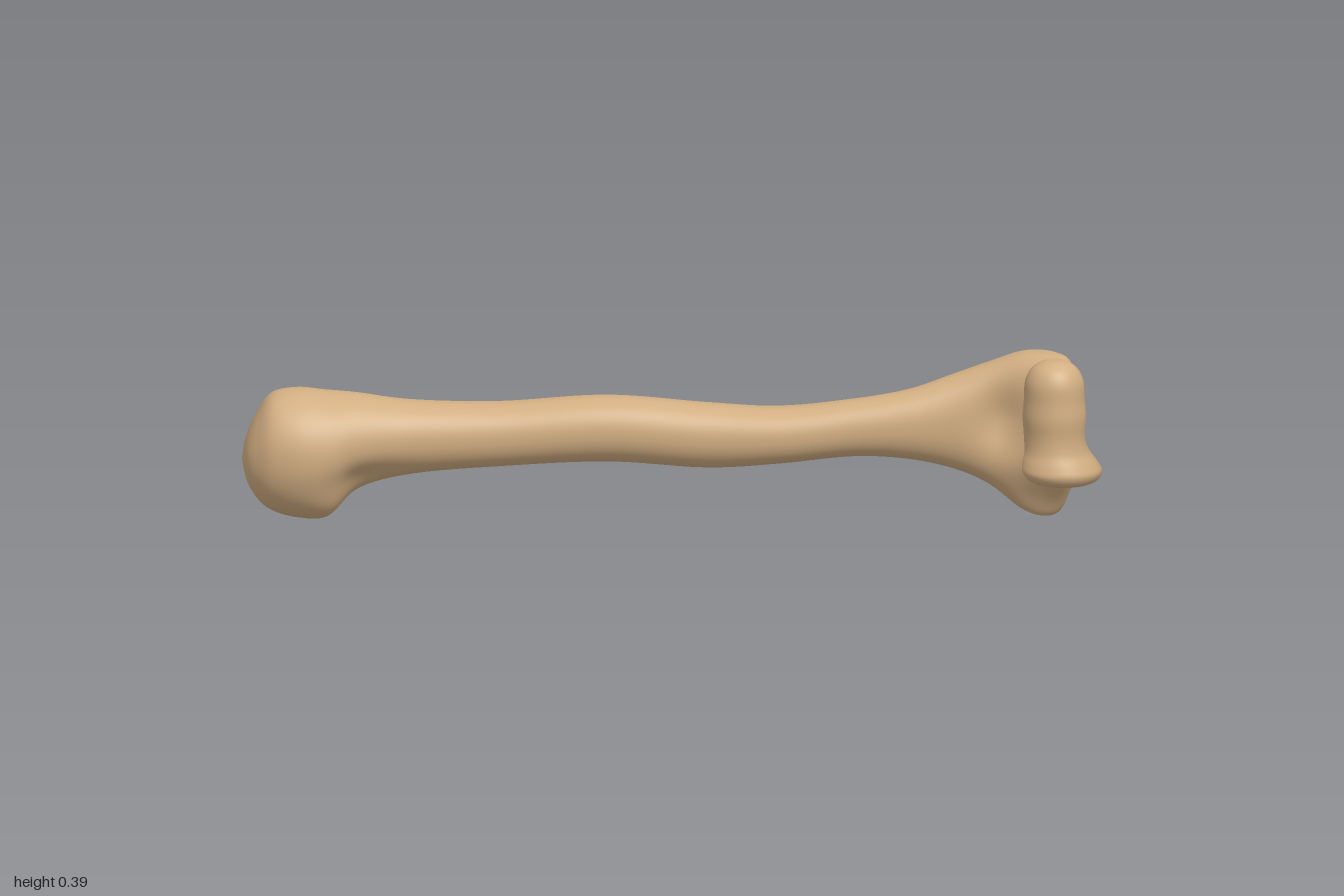
import * as THREE from 'three';

const bone = new THREE.MeshStandardMaterial({ color: 0xd2ae82 });
bone.name = 'bone tan';

// Stations along the bone: x, bottom, top, back, front
const STATIONS = [
  [-1.0, 0.15, 0.15, -0.02, -0.02],
  [-0.99, 0.1, 0.2, -0.075, 0.035],
  [-0.965, 0.055, 0.255, -0.12, 0.07],
  [-0.93, 0.025, 0.3, -0.16, 0.095],
  [-0.87, 0.007, 0.312, -0.187, 0.108],
  [-0.8, 0.01, 0.306, -0.177, 0.102],
  [-0.73, 0.075, 0.3, -0.148, 0.084],
  [-0.6, 0.11, 0.282, -0.118, 0.06],
  [-0.4, 0.126, 0.276, -0.105, 0.05],
  [-0.15, 0.136, 0.29, -0.103, 0.054],
  [0.08, 0.121, 0.272, -0.095, 0.058],
  [0.25, 0.132, 0.265, -0.076, 0.065],
  [0.42, 0.148, 0.281, -0.068, 0.061],
  [0.55, 0.14, 0.303, -0.07, 0.06],
  [0.66, 0.113, 0.338, -0.085, 0.056],
  [0.74, 0.077, 0.366, -0.086, 0.062],
  [0.81, 0.024, 0.391, -0.084, 0.08],
  [0.86, 0.006, 0.397, -0.076, 0.1],
  [0.9, 0.018, 0.393, -0.056, 0.12],
  [0.925, 0.07, 0.38, -0.03, 0.12],
  [0.938, 0.13, 0.34, 0.0, 0.1],
  [0.943, 0.24, 0.24, 0.05, 0.05],
];

// Soft hollows: centre, radii, push
const HOLLOWS = [
  { c: [0.87, 0.19, -0.08], r: [0.095, 0.062, 0.1], p: [0, 0, 0.11] },    // rear elbow hollow
  { c: [0.77, 0.24, 0.08], r: [0.06, 0.08, 0.05], p: [0, 0, -0.03] },     // front elbow hollow
  { c: [-0.74, 0.28, -0.1], r: [0.17, 0.07, 0.03], p: [0, -0.025, 0.01] }, // groove by the head
  { c: [-0.72, 0.1, 0.07], r: [0.12, 0.05, 0.05], p: [0, 0.01, -0.02] },  // neck under the head
];

function catmull(a, b, c, d, t) {
  return 0.5 * (2 * b + (c - a) * t + (2 * a - 5 * b + 4 * c - d) * t * t
    + (3 * b - a - 3 * c + d) * t * t * t);
}

function sectionAt(u) {
  const last = STATIONS.length - 1;
  const i = Math.min(Math.floor(u), last - 1);
  const at = (k) => STATIONS[THREE.MathUtils.clamp(k, 0, last)];
  return at(i).map((_, k) => catmull(at(i - 1)[k], at(i)[k], at(i + 1)[k], at(i + 2)[k], u - i));
}

function shape(p) {
  // Narrow the inner, lower knob at the elbow end
  const knob = THREE.MathUtils.smoothstep(p.x, 0.7, 0.84)
    * (1 - THREE.MathUtils.smoothstep(p.y, 0.02, 0.15));
  p.z = THREE.MathUtils.lerp(p.z, 0.02 + (p.z - 0.02) * 0.45, knob);
  const q = p.toArray();
  for (const { c, r, p: push } of HOLLOWS) {
    const d2 = c.reduce((s, v, k) => s + ((q[k] - v) / r[k]) ** 2, 0);
    p.addScaledVector(new THREE.Vector3(...push), Math.exp(-d2));
  }
  return p;
}

// Closed tube from rings ordered along +x, or by any matching ring function
function loft(rings, sides, point) {
  const pos = [], index = [];
  for (let i = 0; i <= rings; i++) {
    for (let j = 0; j < sides; j++) {
      pos.push(...point(i / rings, (j / sides) * Math.PI * 2).toArray());
      if (i === rings) continue;
      const k = (j + 1) % sides, a = i * sides;
      index.push(a + j, a + k, a + sides + j, a + k, a + sides + k, a + sides + j);
    }
  }
  const g = new THREE.BufferGeometry();
  g.setAttribute('position', new THREE.Float32BufferAttribute(pos, 3));
  g.setIndex(index);
  g.computeVertexNormals();
  return g;
}

export function createModel() {
  const group = new THREE.Group();
  group.name = 'armBone';
  const add = (name, geometry) => {
    const mesh = new THREE.Mesh(geometry, bone);
    mesh.name = name;
    group.add(mesh);
    return mesh;
  };

  // Shaft with the rounded head and the two flared elbow columns
  add('shaftAndHead', loft((STATIONS.length - 1) * 6, 72, (v, a) => {
    const [x, bottom, top, back, front] = sectionAt(v * (STATIONS.length - 1));
    const e = THREE.MathUtils.lerp(0.92, 0.72, THREE.MathUtils.smoothstep(x, 0.55, 0.85));
    const round = (n) => Math.sign(n) * Math.abs(n) ** e;
    return shape(new THREE.Vector3(x,
      (top + bottom) / 2 + round(Math.cos(a)) * (top - bottom) / 2,
      (front + back) / 2 + round(Math.sin(a)) * (front - back) / 2));
  }));

  // Spool-shaped elbow joint with a flared lower rim
  const profile = new THREE.SplineCurve([
    [0, 0.1], [0.05, 0.101], [0.08, 0.11], [0.093, 0.13], [0.087, 0.152], [0.075, 0.18],
    [0.071, 0.215], [0.074, 0.26], [0.071, 0.3], [0.068, 0.345], [0.052, 0.376],
    [0.025, 0.392], [0, 0.394],
  ].map(([r, y]) => new THREE.Vector2(r, y))).getPoints(60);
  profile.forEach((p) => { p.x = Math.max(p.x, 0); });
  const spool = new THREE.LatheGeometry(profile, 56);
  const pos = spool.attributes.position;
  for (let i = 0; i < pos.count; i++) {
    // The lower rim leans outward along the bone
    const lean = 1 - THREE.MathUtils.smoothstep(pos.getY(i), 0.11, 0.22);
    pos.setX(i, pos.getX(i) + 0.02 * lean);
  }
  const joint = add('elbowJoint', spool);
  joint.position.set(0.887, 0, 0.091);

  return group;
}
